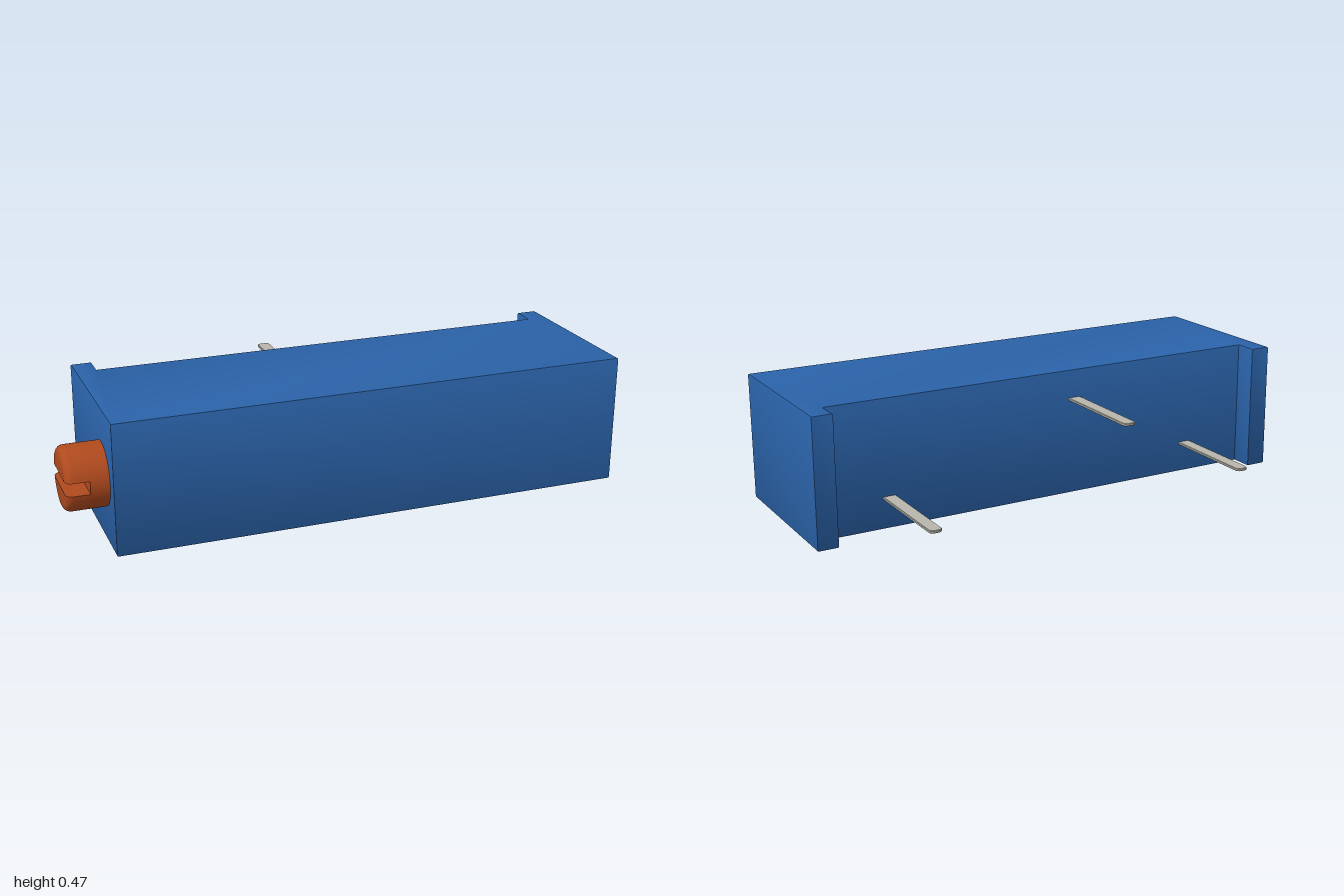
import * as THREE from 'three';
import { toCreasedNormals } from 'three/addons/utils/BufferGeometryUtils.js';

const paint = (color) => new THREE.MeshStandardMaterial({ color });

function addMesh(parent, name, geometry, material) {
  const mesh = new THREE.Mesh(geometry, material);
  mesh.name = name;
  parent.add(mesh);
  return mesh;
}

// Channel-shaped housing: outline in plan (x, -z), extruded upwards
function housingGeometry() {
  const outline = [
    [-0.855, -0.455], [1, -0.455], [1, 0.165], [0.925, 0.165],
    [0.925, 0.08], [-0.78, 0.08], [-0.78, 0.165], [-0.855, 0.165],
  ];
  const bevel = 0.006, height = 0.47;
  const g = new THREE.ExtrudeGeometry(
    new THREE.Shape(outline.map(([x, y]) => new THREE.Vector2(x, y))),
    { depth: height - 2 * bevel, bevelSize: bevel, bevelThickness: bevel, bevelOffset: -bevel, bevelSegments: 2 },
  );
  g.rotateX(-Math.PI / 2).translate(0, bevel, 0);
  return toCreasedNormals(g, 0.7);
}

// Half of the slotted screw head: circle segments above the slot, lofted
// along +z, with a rounded outer rim
function halfHeadGeometry(radius, slotHalf, depth, rim) {
  const n = 32, levels = [[0, radius]];
  for (let i = 0; i <= 5; i++) {
    const t = (i / 5) * Math.PI / 2;
    levels.push([depth - rim + rim * Math.sin(t), radius - rim + rim * Math.cos(t)]);
  }
  const pos = [], index = [];
  for (const [z, r] of levels) {
    const a = Math.asin(slotHalf / r);
    for (let i = 0; i < n; i++) {
      const t = a + (Math.PI - 2 * a) * i / (n - 1);
      pos.push(r * Math.cos(t), r * Math.sin(t), z);
    }
  }
  for (let l = 0; l < levels.length - 1; l++) {
    for (let i = 0; i < n; i++) {
      const j = (i + 1) % n, a = l * n, b = a + n;
      index.push(a + i, a + j, b + j, a + i, b + j, b + i);
    }
  }
  // End caps
  const top = (levels.length - 1) * n;
  for (let i = 1; i < n - 1; i++) {
    index.push(0, i + 1, i, top, top + i, top + i + 1);
  }
  const g = new THREE.BufferGeometry();
  g.setAttribute('position', new THREE.Float32BufferAttribute(pos, 3));
  g.setIndex(index);
  return toCreasedNormals(g, 0.6);
}

// Flat pin with a rounded tip, pointing to -z from the origin
function pinGeometry(width, length, thickness) {
  const w = width / 2, r = 0.018, bevel = 0.002;
  const s = new THREE.Shape();
  s.moveTo(-w, 0);
  s.lineTo(w, 0);
  s.lineTo(w, length - r);
  s.quadraticCurveTo(w, length, w - r, length);
  s.lineTo(-w + r, length);
  s.quadraticCurveTo(-w, length, -w, length - r);
  const g = new THREE.ExtrudeGeometry(s, {
    depth: thickness - 2 * bevel, bevelSize: bevel, bevelThickness: bevel,
    bevelOffset: -bevel, bevelSegments: 1, curveSegments: 6,
  });
  g.rotateX(-Math.PI / 2).translate(0, bevel - thickness / 2, 0);
  return toCreasedNormals(g, 0.6);
}

export function createModel() {
  const model = new THREE.Group();
  model.name = 'trimmerPotentiometer';
  const blue = paint(0x2a62a8), copper = paint(0xb04a1e), metal = paint(0xb8b6ac);

  addMesh(model, 'housing', housingGeometry(), blue);

  // Adjusting screw, built along +z and turned to point to -x
  const screw = new THREE.Group();
  screw.name = 'adjustingScrew';
  const radius = 0.112, shaft = 0.065, embed = 0.01;
  const shaftGeometry = new THREE.CylinderGeometry(radius, radius, shaft + embed, 64);
  shaftGeometry.rotateX(Math.PI / 2).translate(0, 0, (shaft - embed) / 2);
  addMesh(screw, 'screwShaft', shaftGeometry, copper);
  const half = halfHeadGeometry(radius, 0.0225, 0.08, 0.025);
  for (const side of [0, 1]) {
    const head = addMesh(screw, side ? 'lowerScrewHead' : 'upperScrewHead', half, copper);
    head.position.z = shaft;
    head.rotation.z = side * Math.PI;
  }
  screw.position.set(-0.855, 0.237, 0.292);
  screw.rotation.y = -Math.PI / 2;
  model.add(screw);

  // Three terminal pins, the middle one set higher
  const pin = pinGeometry(0.048, 0.385, 0.01);
  const places = [['rightPin', -0.532, 0.113], ['middlePin', -0.04, 0.36], ['leftPin', 0.7, 0.113]];
  for (const [name, x, y] of places) {
    addMesh(model, name, pin, metal).position.set(x, y, -0.07);
  }
  return model;
}
